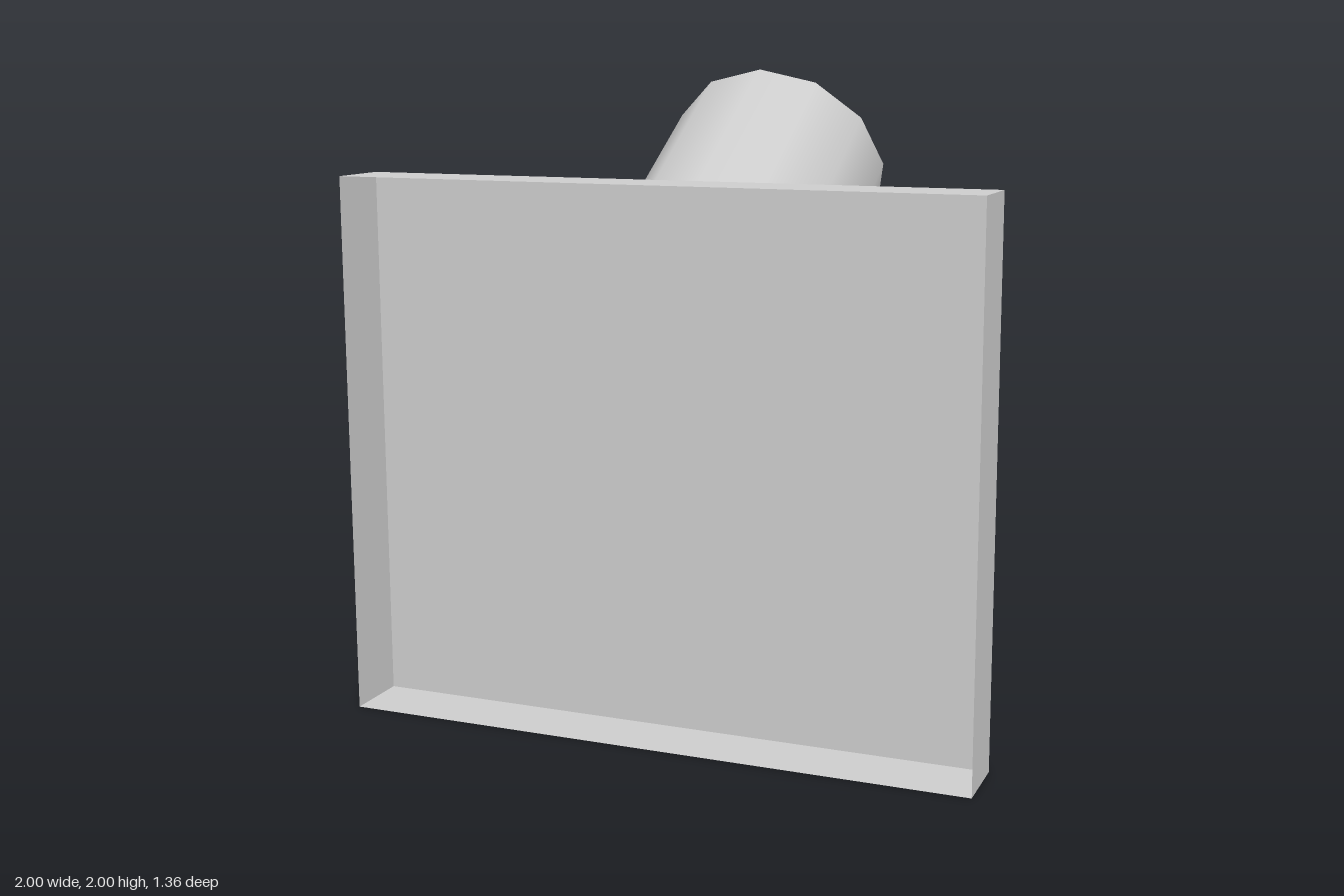
import * as THREE from 'three';

export function createModel() {
  const group = new THREE.Group();
  const grey = new THREE.MeshStandardMaterial({ color: 0xcccccc, side: THREE.DoubleSide });
  grey.name = 'light grey';
  const add = (name, geometry) => {
    const mesh = new THREE.Mesh(geometry, grey);
    mesh.name = name;
    group.add(mesh);
  };

  const panelZ = 0.475;

  // Shallow tray: a box shell without its front (+z) face
  const tray = new THREE.BoxGeometry(2, 1.69, 0.205);
  const index = Array.from(tray.index.array);
  index.splice(24, 6);
  tray.setIndex(index);
  tray.clearGroups();
  tray.translate(0, 0.845, panelZ + 0.1025);
  add('tray', tray);

  // Open twelve-sided tube, leaning up and back from the panel
  const near = new THREE.Vector3(0, 1.09, panelZ);
  const far = new THREE.Vector3(0, 1.69, -0.4825);
  const axis = far.clone().sub(near);
  const length = axis.length();
  axis.normalize();
  const tube = new THREE.CylinderGeometry(0.368, 0.368, length, 12, 1, true);
  tube.rotateX(Math.atan2(axis.z, axis.y));
  const middle = near.clone().add(far).multiplyScalar(0.5);
  tube.translate(middle.x, middle.y, middle.z);

  // Slide the lower ring along the axis until it lies flat on the panel
  const pos = tube.attributes.position;
  const p = new THREE.Vector3();
  for (let i = pos.count / 2; i < pos.count; i++) {
    p.fromBufferAttribute(pos, i);
    p.addScaledVector(axis, (panelZ - p.z) / axis.z);
    pos.setXYZ(i, p.x, p.y, p.z);
  }
  add('tube', tube);

  // Two small blocks low on the back
  for (const side of [-1, 1]) {
    const block = new THREE.BoxGeometry(0.295, 0.295, 0.135);
    block.translate(side * 0.675, 0.328, panelZ - 0.0675);
    add(side > 0 ? 'leftBlock' : 'rightBlock', block);
  }

  return group;
}
